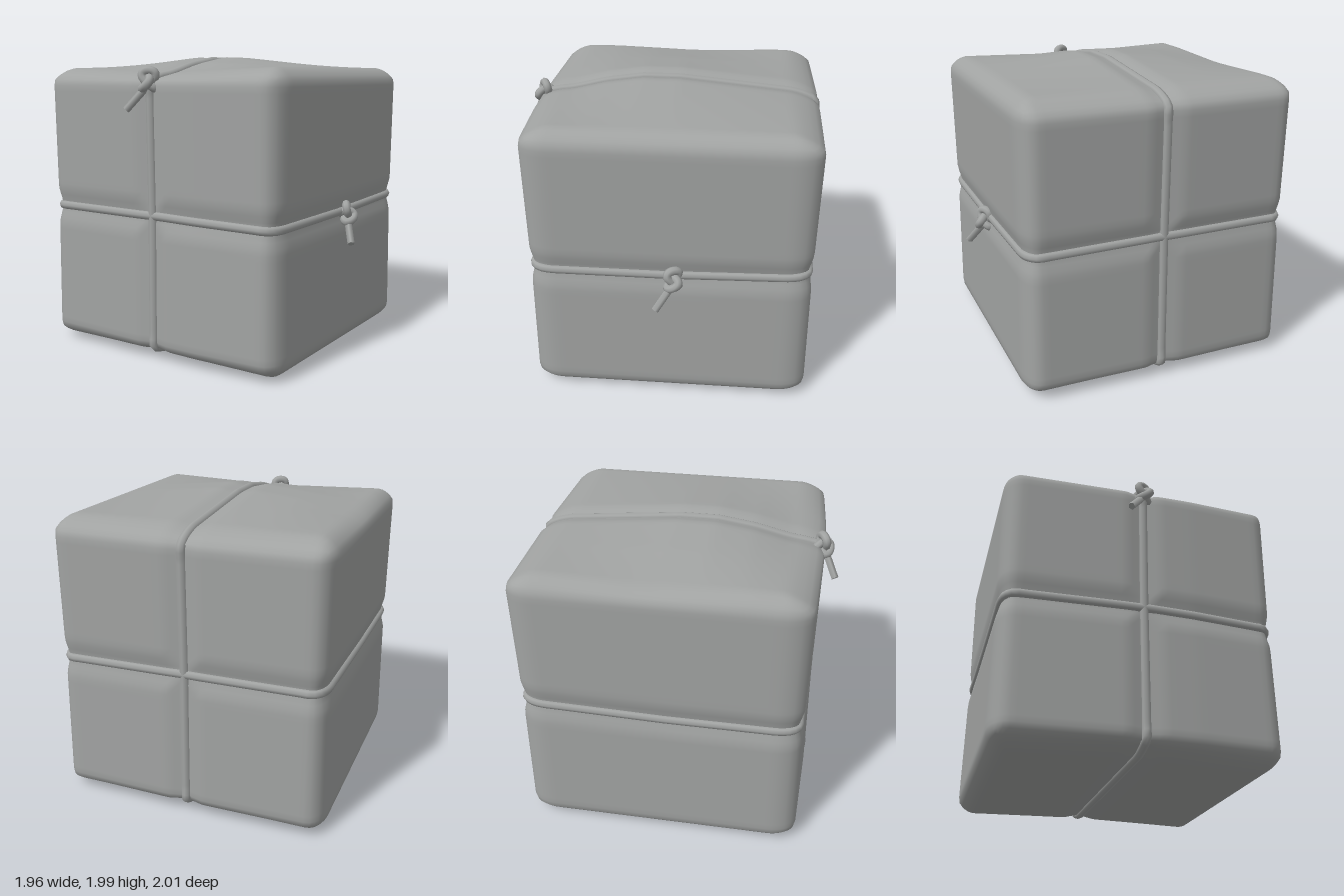
import * as THREE from 'three';
import { mergeVertices } from 'three/addons/utils/BufferGeometryUtils.js';

const material = new THREE.MeshStandardMaterial({ color: 0xa1a3a2 });
const center = new THREE.Vector3(-0.05, 0.96, -0.05);
const half = new THREE.Vector3(0.925, 0.96, 0.93);
const round = new THREE.Vector3(0.12, 0.1, 0.2); // corner radii, as a share of each half size
const ROPE = 0.031;

const clamp = THREE.MathUtils.clamp;
// 1 between a and b, falling straight to 0 at lo and hi
const ramp = (v, lo, a, b, hi) => clamp(Math.min((v - lo) / (a - lo), (hi - v) / (hi - b)), 0, 1);
// Sharp crease under a rope
const crease = d => 0.03 * Math.max(0, 1 - Math.abs(d) / 0.12);
// Height of the slightly wavering horizontal rope
const ropeY = (x, z) => 0.968 - 0.01 * x - 0.012 * Math.abs(x) + 0.025 * Math.max(0, -z);

// Maps a point on a cube of half size 1 to the soft, tied-up body
function surface(p) {
  const inner = p.clone(), dir = new THREE.Vector3();
  for (const k of ['x', 'y', 'z']) {
    inner[k] = clamp(p[k], -1 + round[k], 1 - round[k]);
    dir[k] = (p[k] - inner[k]) / round[k];
  }
  // Upright edges are round, top and bottom edges closer to a chamfer
  const flat = Math.hypot(dir.x, dir.z), e = 1.4;
  dir.divideScalar(Math.pow(Math.pow(flat, e) + Math.pow(Math.abs(dir.y), e), 1 / e));
  const q = inner.add(dir.clone().multiply(round)).multiply(half).add(center);
  const dx = q.x - center.x, dy = q.y - ropeY(q.x, q.z);
  const across = ramp(q.x, -0.88, -0.17, 0.07, 0.77);
  // Swollen top that sinks at the front edge and in the middle of the -x edge
  if (dir.y > 0) {
    const swell = 0.072 * ramp(q.z, -0.82, -0.05, 0.2, 0.68) - 0.025 * ramp(q.z, 0.45, 0.7, 1, 2);
    const sag = 0.02 * ramp(q.x, -2, -1, -0.88, -0.5) * ramp(q.z, -0.7, -0.2, -0.05, 0.5);
    q.y += dir.y * (across * swell - sag);
  } else q.y -= 0.018 * dir.y * across; // raised bottom
  // Bowed front and back
  q.z += dir.z * (dir.z > 0 ? 0.026 * ramp(q.x, -0.88, -0.17, 0.28, 0.77) : 0.015 * across);
  // Pinching by the two ropes
  const tight = Math.max(crease(dx) * (1 - Math.abs(dir.x)), crease(dy) * (1 - Math.abs(dir.y)));
  const waist = 0.01 * Math.max(0, 1 - Math.abs(dy) / 0.85) * (1 - Math.abs(dir.y));
  return q.addScaledVector(dir, -tight - waist);
}

function makeBody() {
  let g = new THREE.BoxGeometry(2, 2, 2, 48, 48, 48);
  g.deleteAttribute('normal');
  g.deleteAttribute('uv');
  g = mergeVertices(g);
  const pos = g.attributes.position, p = new THREE.Vector3();
  for (let i = 0; i < pos.count; i++) {
    const q = surface(p.fromBufferAttribute(pos, i));
    pos.setXYZ(i, q.x, q.y, q.z);
  }
  g.computeVertexNormals();
  return g;
}

// Closed rope lying on the body; place() turns a square-loop point into a cube point
function makeRope(place) {
  const pts = [];
  for (let i = 0; i < 120; i++) {
    const a = (i / 120) * Math.PI * 2, c = Math.cos(a), s = Math.sin(a);
    const m = Math.max(Math.abs(c), Math.abs(s));
    pts.push(surface(place(c / m, s / m)));
  }
  return new THREE.TubeGeometry(new THREE.CatmullRomCurve3(pts, true), 200, ROPE, 8, true);
}

// Knot: local z points away from the body
function makeKnot(name) {
  const knot = new THREE.Group();
  knot.name = name;
  const pts = [];
  for (let i = 0; i < 30; i++) {
    const t = (i / 30) * Math.PI * 2;
    pts.push(new THREE.Vector3(
      0.036 * Math.sin(3 * t),
      -0.023 * (Math.cos(t) - 2 * Math.cos(2 * t)),
      0.018 * (Math.sin(t) + 2 * Math.sin(2 * t))));
  }
  const loop = new THREE.TubeGeometry(new THREE.CatmullRomCurve3(pts, true), 90, 0.028, 8, true);
  add(knot, 'knotLoop', loop);
  // Loose end
  const a = new THREE.Vector3(-0.01, -0.04, 0.02), b = new THREE.Vector3(-0.11, -0.178, 0.095);
  const tail = add(knot, 'knotTail', new THREE.CylinderGeometry(0.025, 0.025, a.distanceTo(b), 5));
  tail.position.copy(a).lerp(b, 0.5);
  tail.quaternion.setFromUnitVectors(new THREE.Vector3(0, 1, 0), b.clone().sub(a).normalize());
  return knot;
}

function add(parent, name, geometry) {
  const mesh = new THREE.Mesh(geometry, material);
  mesh.name = name;
  parent.add(mesh);
  return mesh;
}

export function createModel() {
  const model = new THREE.Group();
  model.name = 'tiedBale';
  add(model, 'body', makeBody());
  add(model, 'verticalRope', makeRope((u, v) => new THREE.Vector3(0, u, v)));
  add(model, 'horizontalRope', makeRope((u, v) => {
    const y = ropeY(center.x + u * half.x, center.z + v * half.z);
    return new THREE.Vector3(u, (y - center.y) / half.y, v);
  }));

  const frontKnot = makeKnot('frontKnot');
  frontKnot.position.set(-0.05, 1.83, 0.89);
  const sideKnot = makeKnot('sideKnot');
  sideKnot.position.set(0.87, 0.93, -0.08);
  sideKnot.rotation.y = Math.PI / 2;
  model.add(frontKnot, sideKnot);
  return model;
}
